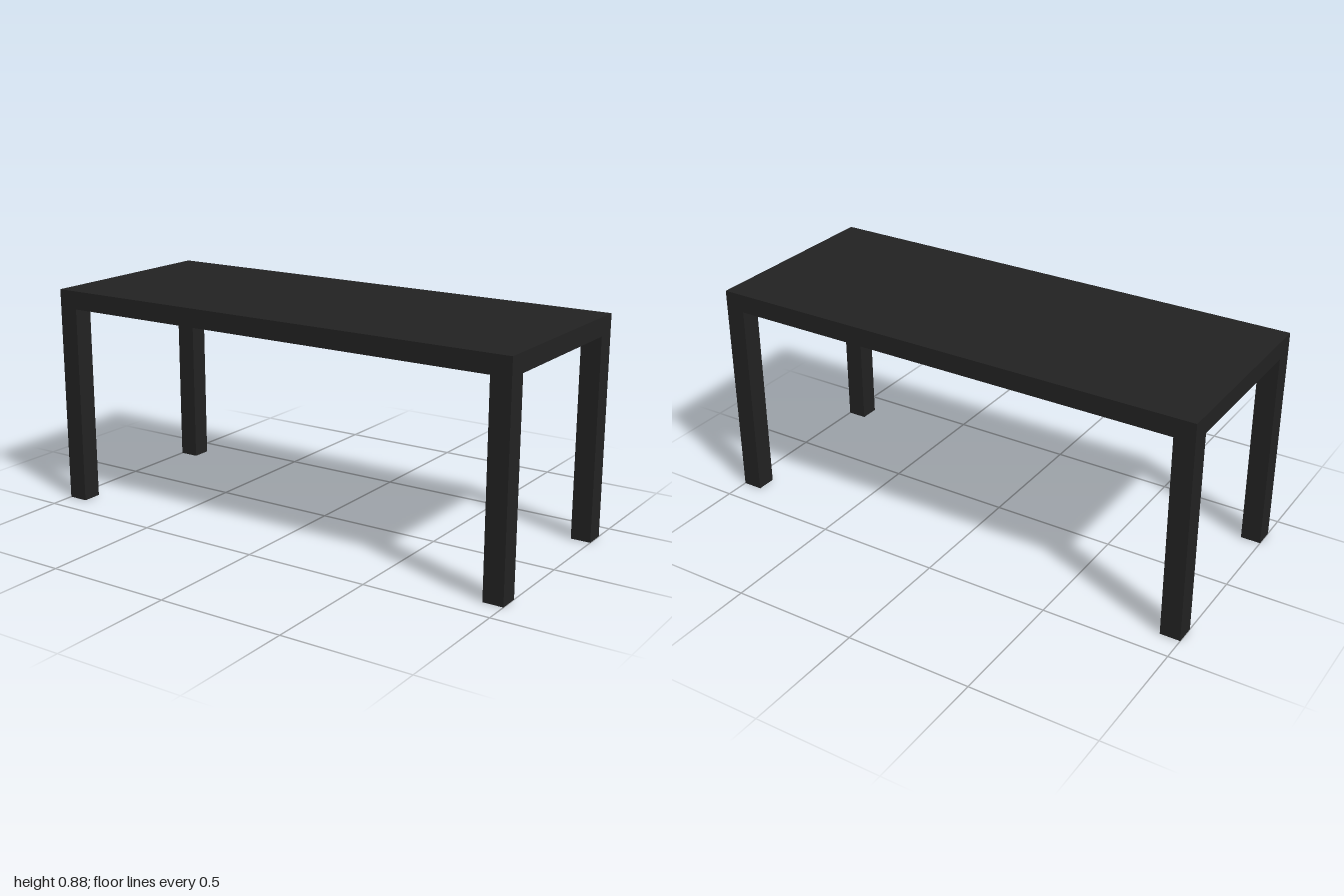
import * as THREE from 'three';

const WIDTH = 2, DEPTH = 0.8, HEIGHT = 0.875;
const TOP = 0.073; // tabletop thickness
const LEG = 0.08;  // square leg side

export function createModel() {
  const table = new THREE.Group();
  table.name = 'table';
  const black = new THREE.MeshStandardMaterial({ color: 0x222222 });
  black.name = 'matte black';

  // Tabletop slab
  const top = new THREE.Mesh(new THREE.BoxGeometry(WIDTH, TOP, DEPTH), black);
  top.name = 'tabletop';
  top.position.y = HEIGHT - TOP / 2;
  table.add(top);

  // Four square legs, flush with the corners
  const legHeight = HEIGHT - TOP;
  const legGeometry = new THREE.BoxGeometry(LEG, legHeight, LEG);
  for (const [xSide, x] of [['Left', 1], ['Right', -1]]) {
    for (const [zSide, z] of [['front', 1], ['back', -1]]) {
      const leg = new THREE.Mesh(legGeometry, black);
      leg.name = `${zSide}${xSide}Leg`;
      leg.position.set(x * (WIDTH - LEG) / 2, legHeight / 2, z * (DEPTH - LEG) / 2);
      table.add(leg);
    }
  }
  return table;
}
